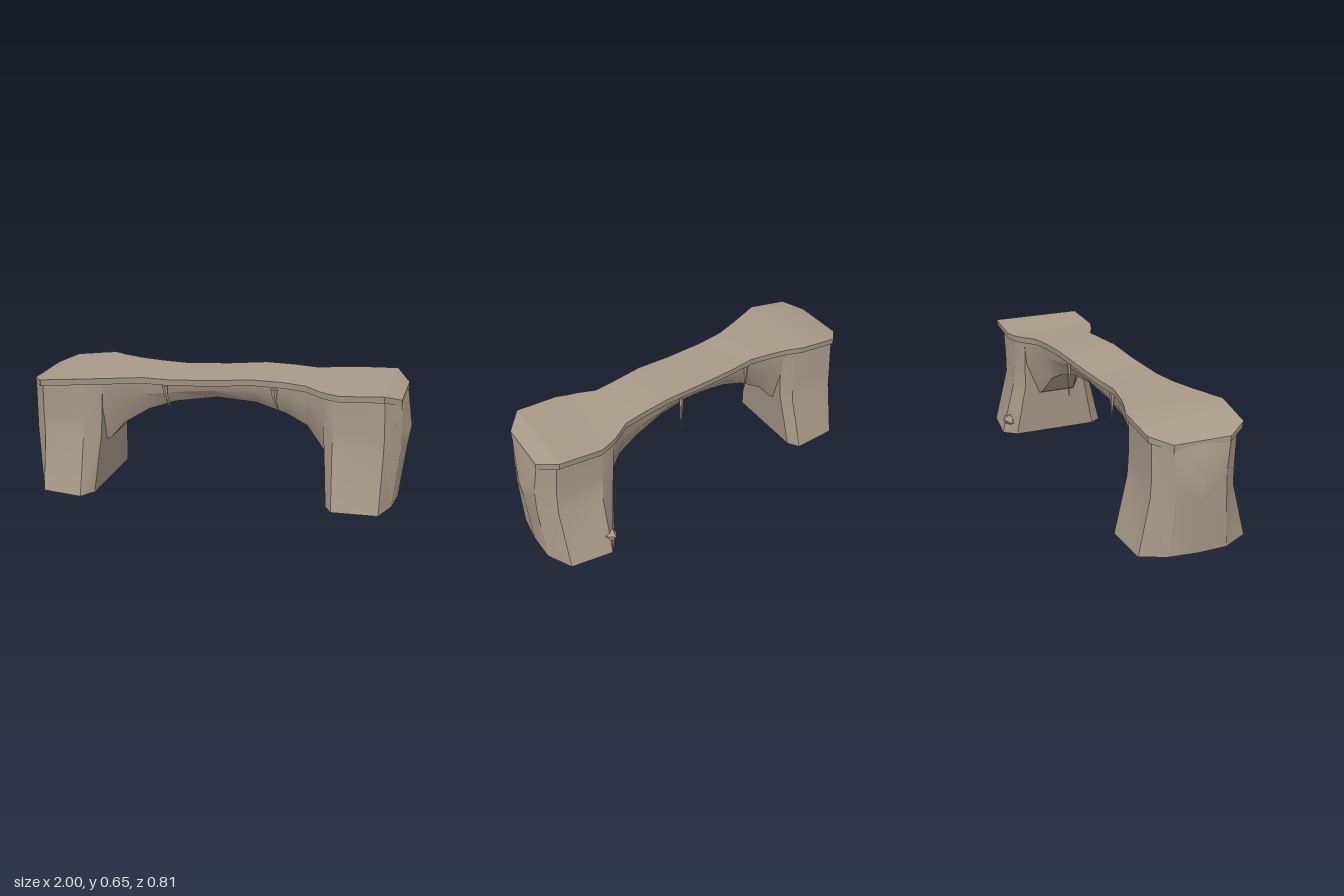
import * as THREE from 'three';
import { toCreasedNormals } from 'three/addons/utils/BufferGeometryUtils.js';

const stone = new THREE.MeshStandardMaterial({ color: 0xa89a88 });
stone.name = 'warm stone';

// Skin closed rings of [x, y, z]; rings run counterclockwise seen from the far end.
function loft(rings, flipFrom = 0) {
  const out = [];
  const n = rings[0].length;
  const tri = (a, b, c) => out.push(...a, ...b, ...c);
  for (let r = 0; r < rings.length - 1; r++) {
    const lo = rings[r], up = rings[r + 1];
    for (let i = 0; i < n; i++) {
      const j = (i + 1) % n;
      if (i < flipFrom) {
        tri(lo[i], lo[j], up[i]);
        tri(lo[j], up[j], up[i]);
      } else {
        tri(lo[i], lo[j], up[j]);
        tri(lo[i], up[j], up[i]);
      }
    }
  }
  const first = rings[0], last = rings[rings.length - 1];
  for (let i = 1; i < n - 1; i++) {
    tri(first[0], first[i + 1], first[i]);
    tri(last[0], last[i], last[i + 1]);
  }
  const geo = new THREE.BufferGeometry();
  geo.setAttribute('position', new THREE.Float32BufferAttribute(out, 3));
  return toCreasedNormals(geo, 0.5);
}

function add(parent, geo, name) {
  const mesh = new THREE.Mesh(geo, stone);
  mesh.name = name;
  parent.add(mesh);
  return mesh;
}

// Pillar cross-sections as [x, z], optional third value overrides the height.
const pillarRings = [
  [0, [[.61, .14], [.65, .198], [.89, .17], [.94, .04], [.955, -.11], [.95, -.26], [.88, -.39], [.66, -.405], [.61, -.33]]],
  [.3, [[.58, .08], [.63, .125], [.89, .115], [.965, .02], [.985, -.11], [.97, -.235], [.89, -.31], [.66, -.33], [.58, -.28]]],
  [.41, [[.57, .08], [.63, .12], [.89, .11], [.965, .02], [1, -.11], [.97, -.23], [.89, -.31], [.65, -.32], [.57, -.28]]],
  [.6, [[.56, .09], [.63, .12], [.88, .11], [.955, .035, .565], [.957, -.11, .575], [.955, -.25, .565], [.88, -.32], [.65, -.32], [.56, -.28]]],
];

// Deck stations: x, front z, back z, top height, underside of the arch
const stations = [
  [-.957, .25, -.035, .59],
  [-.88, .35, -.13, .615],
  [-.66, .352, -.15, .642],
  [-.6, .322, -.13, .64, .25],
  [-.56, .305, -.12, .64, .27],
  [-.49, .272, -.107, .638, .355],
  [-.36, .217, -.095, .637, .435],
  [-.22, .192, -.115, .63, .485],
  [0, .155, -.155, .637, .518],
  [.2, .125, -.193, .651, .5],
  [.36, .095, -.22, .643, .445],
  [.47, .084, -.24, .632, .385],
  [.56, .125, -.305, .623, .27],
  [.6, .135, -.325, .62, .25],
  [.66, .152, -.352, .62],
  [.88, .13, -.357, .632],
  [.957, .04, -.255, .593],
];

// Thin tapered spike that bends a little towards its tip
function spike(top, tip, radius) {
  const rings = [0, .35, .7, 1].map((t) => {
    const r = radius * (1 - t) + .0008;
    const cx = top[0] + (tip[0] - top[0]) * t * t;
    const cy = top[1] + (tip[1] - top[1]) * t;
    const cz = top[2] + (tip[2] - top[2]) * t;
    return [0, 1, 2, 3, 4].map((k) => {
      const a = k / 5 * Math.PI * 2;
      return [cx + r * Math.cos(a), cy, cz + r * Math.sin(a)];
    });
  });
  return loft(rings);
}

export function createModel() {
  const model = new THREE.Group();
  model.name = 'stoneBridge';

  // Two pillars, the second turned half round
  const pillarGeo = loft(pillarRings.map(([y, ring]) =>
    ring.map(([x, z, h]) => [x, h ?? y, z])), 4);
  add(model, pillarGeo, 'leftPillar');
  add(model, pillarGeo, 'rightPillar').rotation.y = Math.PI;

  // Thin overhanging deck
  const thick = .034;
  add(model, loft(stations.map(([x, f, b, y]) => [
    [x, y, f], [x, y - thick, f - .005], [x, y - thick, b + .005], [x, y, b],
  ])), 'deck');

  // Arched rib with bevelled lower sides
  add(model, loft(stations.filter((s) => s.length > 4).map(([x, f, b, y, arch]) => {
    const mid = (f + b) / 2, half = (f - b) / 2;
    const top = y - .02, knee = arch + (top - arch) * .55;
    const at = (h, k) => [x, h, mid + half * k];
    return [at(top, .9), at(knee, .82), at(arch, .45), at(arch, -.45), at(knee, -.82), at(top, -.9)];
  })), 'arch');

  // Hanging spikes
  [
    [[-.25, .595, .185], [-.2, .45, .185], .014],
    [[.31, .6, .09], [.34, .49, .095], .018],
    [[.115, .605, -.165], [.12, .405, -.165], .011],
    [[-.33, .6, -.088], [-.32, .45, -.088], .013],
  ].forEach(([top, tip, r]) => {
    const geo = spike(tip, top, r);
    geo.dispose();
    // Lofted from the tip upwards so that the faces point outwards
    const rings = [1, .7, .35, 0].map((t) => [0, 1, 2, 3, 4].map((k) => {
      const a = -k / 5 * Math.PI * 2, w = r * (1 - t) + .0008;
      return [
        top[0] + (tip[0] - top[0]) * t * t + w * Math.cos(a),
        top[1] + (tip[1] - top[1]) * t,
        top[2] + (tip[2] - top[2]) * t + w * Math.sin(a),
      ];
    }));
    add(model, loft(rings), 'hangingSpike');
  });

  // Small rock at the foot of one pillar
  const rock = add(model, toCreasedNormals(new THREE.OctahedronGeometry(.045), .3), 'smallRock');
  rock.position.set(.65, .085, -.365);
  rock.rotation.set(.2, .3, .3);

  return model;
}
